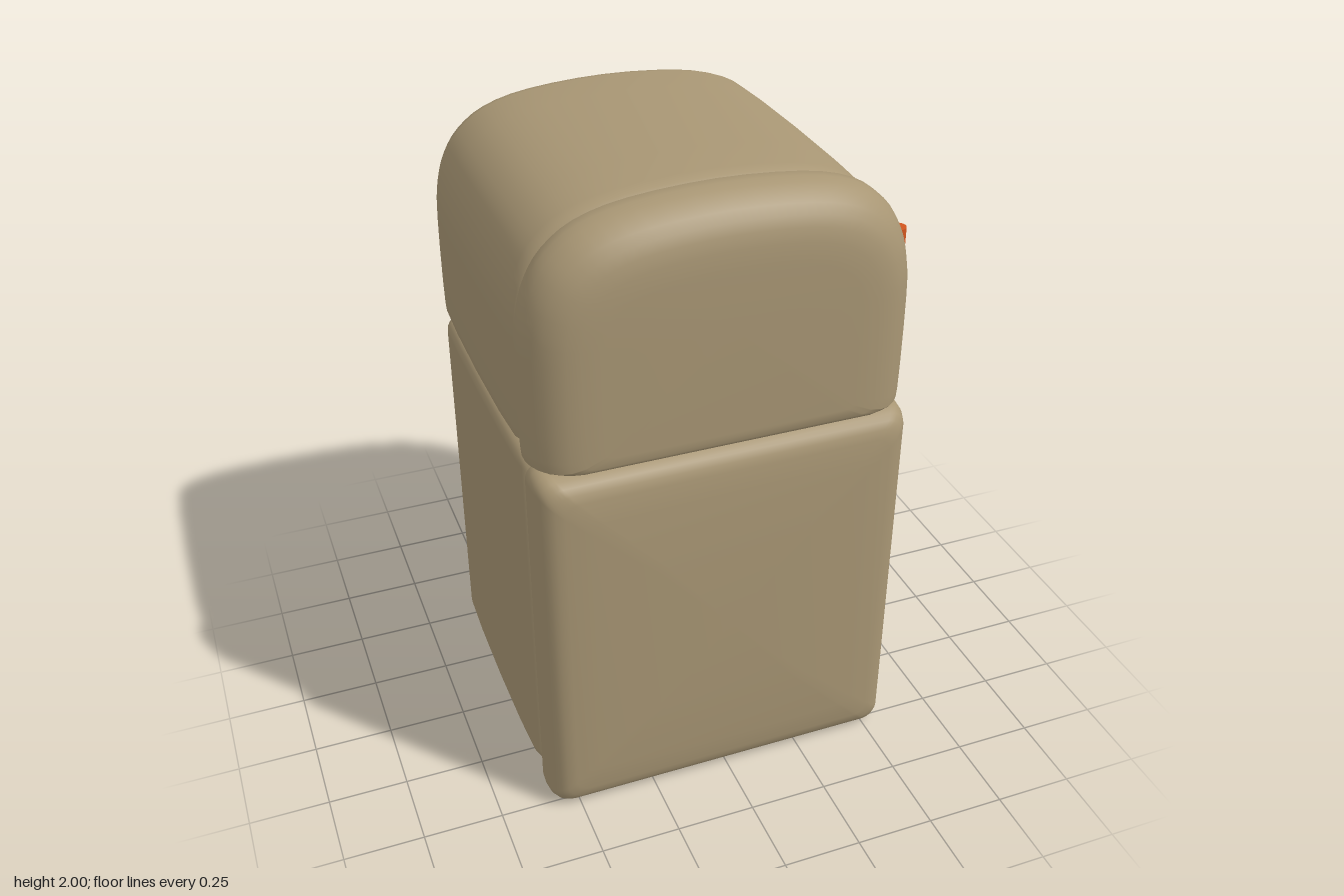
import * as THREE from 'three';

const CX = -0.0125; // cabinet is offset a little to make room for the hinges
const HALF = 0.578;

// Rounded rectangle outline, counter-clockwise
function boxOutline(y0, y1, r) {
  const corners = [[1, y0 + r, -1], [1, y1 - r, 0], [-1, y1 - r, 1], [-1, y0 + r, 2]];
  const pts = [];
  for (const [sx, y, quarter] of corners) {
    for (let i = 0; i <= 6; i++) {
      const a = (quarter + i / 6) * Math.PI / 2;
      pts.push(new THREE.Vector2(sx * (HALF - r) + r * Math.cos(a), y + r * Math.sin(a)));
    }
  }
  return pts;
}

// Outline with a domed top, counter-clockwise
function archOutline(y0, y1) {
  const half = [[0.53, 0], [0.564, 0.01], [0.577, 0.045], [HALF, 0.35], [0.567, 0.47],
    [0.54, 0.56], [0.49, 0.636], [0.4, 0.7], [0.25, 0.739], [0, 0.755]];
  const k = (y1 - y0) / 0.755;
  const all = [...half, ...half.slice(0, -1).reverse().map(([x, y]) => [-x, y])];
  const curve = new THREE.SplineCurve(all.map(([x, y]) => new THREE.Vector2(x, y0 + y * k)));
  return curve.getPoints((all.length - 1) * 3);
}

// Closed smooth skin through inset copies of an outline: sections are [z, inset, bottomInset]
function cushion(outline, sections, zBack, zFront) {
  const ys = outline.map(p => p.y);
  const cy = (Math.min(...ys) + Math.max(...ys)) / 2;
  const hy = (Math.max(...ys) - Math.min(...ys)) / 2;
  const n = outline.length;
  const pos = [], idx = [];
  for (const [z, inset, bottom = inset] of sections) {
    for (const p of outline) {
      const d = p.y < cy ? bottom : inset;
      pos.push(CX + p.x * (1 - inset / HALF), cy + (p.y - cy) * (1 - d / hy), z);
    }
  }
  const last = sections.length - 1;
  const back = pos.length / 3;
  pos.push(CX, cy, zBack, CX, cy, zFront);
  for (let j = 0; j < n; j++) {
    const m = (j + 1) % n;
    for (let k = 0; k < last; k++) {
      const a = k * n + j, b = k * n + m;
      idx.push(a, b, b + n, a, b + n, a + n);
    }
    idx.push(back, m, j, back + 1, last * n + j, last * n + m);
  }
  const geo = new THREE.BufferGeometry();
  geo.setAttribute('position', new THREE.Float32BufferAttribute(pos, 3));
  geo.setIndex(idx);
  geo.computeVertexNormals();
  return geo;
}

export function createModel() {
  const group = new THREE.Group();
  const enamel = new THREE.MeshStandardMaterial({ color: 0xa89674 });
  const orange = new THREE.MeshStandardMaterial({ color: 0xd2561e });
  const add = (name, geo, mat) => {
    const mesh = new THREE.Mesh(geo, mat);
    mesh.name = name;
    group.add(mesh);
    return mesh;
  };

  // Deep cabinets with softly rounded front and back edges
  const cabinet = [
    [-0.57, 0.1], [-0.567, 0.055], [-0.558, 0.028], [-0.542, 0.014], [-0.51, 0.007],
    [-0.35, 0.002], [-0.1, 0], [0.15, 0.002], [0.3, 0.007],
    [0.335, 0.014], [0.352, 0.028], [0.361, 0.055], [0.365, 0.1],
  ];
  add('fridgeCabinet', cushion(boxOutline(0.005, 1.242, 0.05), cabinet, -0.574, 0.367), enamel);
  add('freezerCabinet', cushion(archOutline(1.248, 1.997), cabinet, -0.574, 0.37), enamel);

  // Lower door, gently bulging at the front
  const fridgeDoor = [
    [0.385, 0.06], [0.387, 0.03], [0.395, 0.012], [0.415, 0.002], [0.45, 0], [0.49, 0.004],
    [0.52, 0.014], [0.538, 0.028], [0.55, 0.048], [0.557, 0.075], [0.565, 0.15], [0.573, 0.35],
  ];
  add('fridgeDoor', cushion(boxOutline(0.003, 1.245, 0.05), fridgeDoor, 0.385, 0.575), enamel);

  // Upper door, rounded at the top and sides with a crisp lower edge
  const freezerDoor = [
    [0.38, 0.03, 0.02], [0.381, 0.01, 0.008], [0.388, 0, 0], [0.42, 0, 0], [0.45, 0.007, 0],
    [0.48, 0.022, 0], [0.505, 0.043, 0.001], [0.525, 0.07, 0.003], [0.538, 0.1, 0.008],
    [0.546, 0.14, 0.02], [0.55, 0.2, 0.05],
  ];
  add('freezerDoor', cushion(archOutline(1.245, 2), freezerDoor, 0.38, 0.552), enamel);

  // Hinges: three knuckles on a thinner pin
  const knuckle = new THREE.CylinderGeometry(0.027, 0.027, 0.035, 20);
  const pin = new THREE.CylinderGeometry(0.02, 0.02, 0.11, 16);
  [0.252, 1.025, 1.372, 1.7].forEach((y, i) => {
    const hinge = new THREE.Group();
    hinge.name = `hinge${i + 1}`;
    hinge.position.set(0.56, y, 0.367);
    for (const dy of [-0.04, 0, 0.04]) {
      const part = new THREE.Mesh(knuckle, orange);
      part.name = 'knuckle';
      part.position.y = dy;
      hinge.add(part);
    }
    const core = new THREE.Mesh(pin, orange);
    core.name = 'pin';
    hinge.add(core);
    group.add(hinge);
  });

  return group;
}
